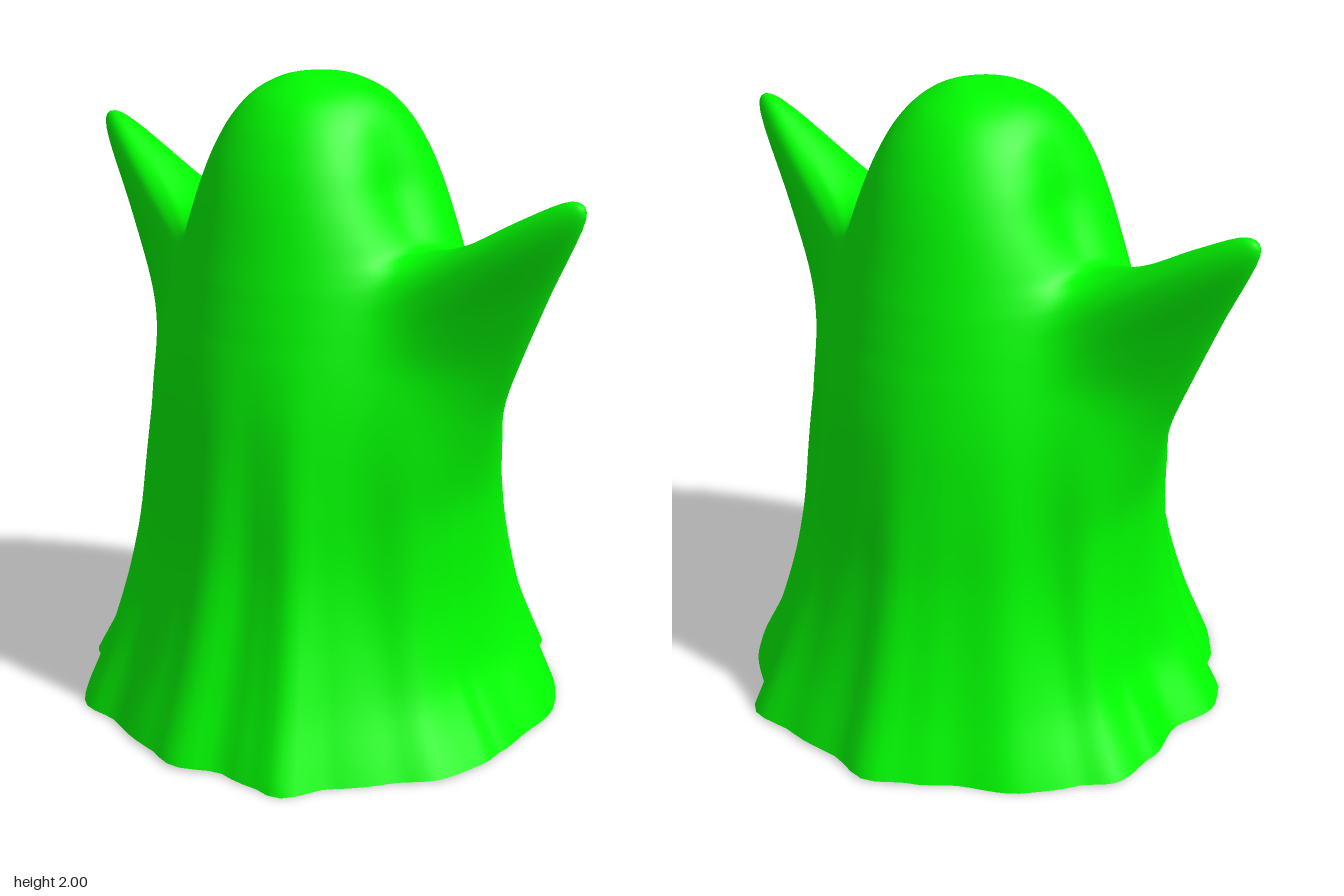
import * as THREE from 'three';
import { mergeVertices } from 'three/addons/utils/BufferGeometryUtils.js';

// Meridians from crown to hem: [side radius, side height, front radius, front height, spread of the side shape in degrees]
const MERIDIANS = [
  [0, 2, 0, 2, 27], [0.1, 1.997, 0.1, 1.997, 27], [0.18, 1.965, 0.205, 1.947, 27],
  [0.24, 1.905, 0.28, 1.868, 27], [0.28, 1.8, 0.337, 1.77, 26], [0.31, 1.69, 0.377, 1.67, 23],
  [0.36, 1.59, 0.405, 1.58, 18], [0.43, 1.53, 0.422, 1.52, 14], [0.6, 1.58, 0.436, 1.47, 12],
  [0.78, 1.68, 0.447, 1.43, 11], [0.95, 1.762, 0.459, 1.38, 10.5], [1, 1.72, 0.471, 1.33, 10.5],
  [0.89, 1.49, 0.482, 1.28, 12], [0.78, 1.25, 0.5, 1.2, 14], [0.7, 1.07, 0.527, 1.05, 19],
  [0.625, 0.82, 0.555, 0.82, 28], [0.605, 0.6, 0.582, 0.6, 30], [0.61, 0.4, 0.625, 0.4, 30],
  [0.65, 0.2, 0.685, 0.2, 30], [0.76, 0, 0.76, 0, 30],
];

// Wavy hem outline: [angle from +x towards +z in degrees, radius]
const HEM = [
  [0, 0.77], [7, 0.785], [18, 0.79], [30, 0.75], [44, 0.75], [55, 0.815], [63, 0.765], [71, 0.73],
  [82, 0.77], [92, 0.74], [109, 0.73], [121, 0.785], [135, 0.765], [144, 0.74], [152, 0.79],
  [160, 0.8], [174, 0.74], [187, 0.785], [198, 0.82], [207, 0.78], [219, 0.77], [235, 0.73],
  [246, 0.755], [256, 0.795], [267, 0.75], [281, 0.765], [294, 0.815], [304, 0.75], [321, 0.77],
  [335, 0.78], [350, 0.76], [360, 0.77],
];

// Soft vertical grooves in the cloth: [angle in degrees, depth]
const GROOVES = [[34, 0.015], [68, 0.015], [146, 0.012], [210, 0.02], [305, 0.012], [328, 0.012]];

const curve = (a, b) => new THREE.CatmullRomCurve3(
  MERIDIANS.map((m) => new THREE.Vector3(m[a], m[b], m[4] / 100)), false, 'catmullrom', 0.45);

function hemRadius(deg) {
  const k = Math.max(1, HEM.findIndex((h) => h[0] >= deg));
  const [a0, r0] = HEM[k - 1];
  const [a1, r1] = HEM[k];
  return THREE.MathUtils.lerp(r0, r1, THREE.MathUtils.smoothstep(deg, a0, a1));
}

function sheetGeometry() {
  const side = curve(0, 1);
  const front = curve(2, 3);
  const rows = 95;
  const cols = 192;
  const positions = [];
  const index = [];

  for (let i = 0; i <= rows; i++) {
    const s = side.getPoint(i / rows);
    const f = front.getPoint(i / rows);
    const spread = THREE.MathUtils.degToRad(s.z * 100);
    // Broad rounded falloff on head and skirt, pointed on the arms
    const power = THREE.MathUtils.mapLinear(THREE.MathUtils.clamp(s.z * 100, 10, 27), 10, 27, 1.25, 2);
    for (let j = 0; j < cols; j++) {
      // Columns crowd towards the arms
      const phi = (j / cols) * Math.PI * 2;
      const theta = phi - 0.4 * Math.sin(2 * phi);
      const deg = THREE.MathUtils.radToDeg(theta);
      const off = Math.asin(Math.min(1, Math.abs(Math.sin(theta))));

      // Pull the cloth out into a pointed arm on each side
      const w = Math.exp(-(((Math.hypot(off, 0.02) - 0.02) / spread) ** power));
      let r = THREE.MathUtils.lerp(f.x, s.x, w);
      let y = THREE.MathUtils.lerp(f.y, s.y, w);

      // The back hangs slightly fuller than the front
      r -= 0.01 * Math.sin(theta) * Math.sin((Math.PI * y) / 2);

      // Folds grow towards the hem
      const low = THREE.MathUtils.clamp(1 - y / 1.4, 0, 1);
      r += (hemRadius(deg) - 0.76) * low ** 1.8;
      const fade = THREE.MathUtils.smoothstep(1.35 - y, 0, 0.7) * THREE.MathUtils.smoothstep(y, 0, 0.6);
      for (const [angle, depth] of GROOVES) {
        r -= depth * fade * Math.exp(-(((deg - angle) / 9) ** 2));
      }
      // Slightly lifted hem
      y += 0.005 * (1 + Math.cos(4 * theta)) * Math.max(0, 1 - y / 0.3);
      positions.push(r * Math.cos(theta), Math.max(0, y), r * Math.sin(theta));

      if (i < rows) {
        const k = (j + 1) % cols;
        const a = i * cols + j, b = i * cols + k, c = a + cols, d = b + cols;
        if (i > 0) index.push(a, b, c);
        index.push(b, d, c);
      }
    }
  }
  const geometry = new THREE.BufferGeometry();
  geometry.setAttribute('position', new THREE.Float32BufferAttribute(positions, 3));
  geometry.setIndex(index);
  const merged = mergeVertices(geometry, 1e-5);
  merged.computeVertexNormals();
  return merged;
}

export function createModel() {
  const group = new THREE.Group();
  group.name = 'ghost';
  // One open sheet draped over the head and raised arms
  const material = new THREE.MeshStandardMaterial({ color: 0x00ff00, side: THREE.DoubleSide });
  const sheet = new THREE.Mesh(sheetGeometry(), material);
  sheet.name = 'drapedSheet';
  group.add(sheet);
  return group;
}
